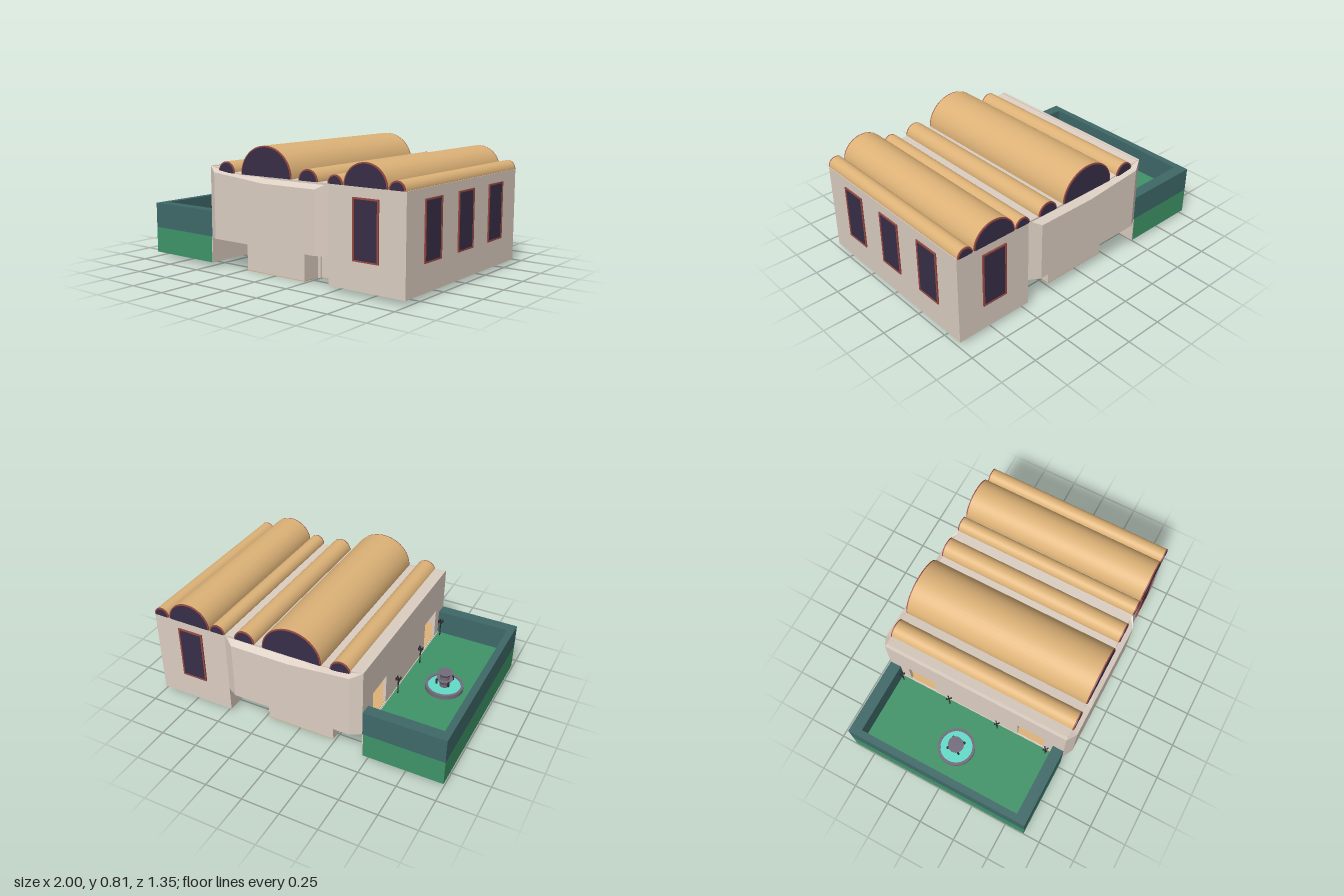
import * as THREE from 'three';

const mat = (color, extra = {}) => new THREE.MeshStandardMaterial({ color, ...extra });
const M = {
  wall: mat(0xdccec2, { flatShading: true }), tan: mat(0xddb277), dark: mat(0x382e48), red: mat(0x9a4a42),
  teal: mat(0x3f6868), green: mat(0x3f9468), water: mat(0x62dcc8), stone: mat(0x736c7c), iron: mat(0x2e2a30),
};

export function createModel() {
  const root = new THREE.Group();
  const add = (name, geo, material, parent = root) => {
    const mesh = new THREE.Mesh(geo, material);
    mesh.name = name;
    parent.add(mesh);
    return mesh;
  };
  // box given by its limits on each axis
  const box = (name, m, x0, x1, y0, y1, z0, z1, parent) => {
    const b = add(name, new THREE.BoxGeometry(x1 - x0, y1 - y0, z1 - z0), m, parent);
    b.position.set((x0 + x1) / 2, (y0 + y1) / 2, (z0 + z1) / 2);
    return b;
  };
  const cyl = (name, m, r0, r1, h, x, y, z, seg = 24, parent = root) => {
    const c = add(name, new THREE.CylinderGeometry(r1, r0, h, seg), m, parent);
    c.position.set(x, y + h / 2, z);
    return c;
  };
  const rect = (P, x0, x1, y0, y1) => {
    const p = new P();
    p.moveTo(x0, y0); p.lineTo(x1, y0); p.lineTo(x1, y1); p.lineTo(x0, y1); p.closePath();
    return p;
  };
  const extrude = (shape, depth) => new THREE.ExtrudeGeometry(shape, { depth, bevelEnabled: false, curveSegments: 24 });

  // main hall: floor, right wall and roof in one profile
  const profile = [[-0.45, 0.2], [0.47, 0.2], [0.47, 0.62], [-0.2, 0.62], [-0.45, 0.652],
    [-0.45, 0.6], [0.45, 0.6], [0.45, 0.21], [-0.45, 0.21]];
  const hall = add('hallShell', extrude(new THREE.Shape(profile.map(p => new THREE.Vector2(...p))), 1.27), M.wall);
  hall.position.z = -0.635;
  box('hallUnderside', M.tan, -0.46, 0.465, 0.197, 0.2, -0.63, 0.63);
  box('hallFloor', M.tan, -0.465, 0.45, 0.21, 0.213, -0.62, 0.62);

  // garden-side wall with two door openings
  const side = rect(THREE.Shape, -0.635, 0.635, 0.2, 0.655);
  for (const z of [-0.4, 0.4]) side.holes.push(rect(THREE.Path, z - 0.095, z + 0.095, 0.205, 0.41));
  const sideWall = add('gardenSideWall', extrude(side, 0.02), M.wall);
  sideWall.rotation.y = -Math.PI / 2;
  sideWall.position.x = -0.45;

  // shallow faceted bays closing both ends: x, outer z, outer top, inner top
  const stations = [[-0.47, 0.635, 0.655, 0.655], [-0.4, 0.675, 0.62, 0.646], [-0.2, 0.675, 0.602, 0.62],
    [0, 0.675, 0.583, 0.62], [0.4, 0.675, 0.583, 0.62], [0.47, 0.635, 0.62, 0.62]];
  for (const s of [1, -1]) {
    const pos = [], idx = [];
    for (const [x, zo, yo, yi] of stations)
      pos.push(x, 0.2, s * 0.615, x, 0.2, s * zo, x, yo, s * zo, x, yi, s * 0.615);
    const tri = (a, b, c) => (s > 0 ? idx.push(a, b, c) : idx.push(a, c, b));
    const quad = (a, b, c, d) => { tri(a, b, c); tri(a, c, d); };
    for (let i = 0; i < stations.length - 1; i++)
      for (let j = 0; j < 4; j++) {
        const a = i * 4 + j, b = i * 4 + (j + 1) % 4;
        quad(a, a + 4, b + 4, b);
      }
    quad(0, 1, 2, 3);
    const e = (stations.length - 1) * 4;
    quad(e + 3, e + 2, e + 1, e);
    let g = new THREE.BufferGeometry();
    g.setAttribute('position', new THREE.Float32BufferAttribute(pos, 3));
    g.setIndex(idx);
    g = g.toNonIndexed();
    g.computeVertexNormals();
    add(s > 0 ? 'frontBay' : 'backBay', g, M.wall);
  }

  // side wing
  box('wingBase', M.wall, 0.47, 0.992, 0.03, 0.2, -0.635, 0.635);
  box('wingWalls', M.wall, 0.47, 0.992, 0.2, 0.62, -0.635, 0.635);

  // framed windows of the wing
  const addWindow = (x, z, ry, w) => {
    const g = new THREE.Group();
    g.name = 'window';
    const f = rect(THREE.Shape, -w / 2, w / 2, 0.2, 0.56);
    f.holes.push(rect(THREE.Path, -w / 2 + 0.01, w / 2 - 0.01, 0.208, 0.55));
    add('windowFrame', extrude(f, 0.009), M.red, g);
    box('windowPane', M.dark, -w / 2 + 0.005, w / 2 - 0.005, 0.204, 0.555, -0.002, 0.005, g);
    g.position.set(x, 0, z);
    g.rotation.y = ry;
    root.add(g);
  };
  for (const z of [-0.365, 0, 0.365]) addWindow(0.991, z, Math.PI / 2, 0.18);
  addWindow(0.73, 0.635, 0, 0.175);
  addWindow(0.73, -0.635, Math.PI, 0.175);

  // barrel vaults with rimmed dark ends: centre x, half width, height
  const half = (r, h) => {
    const s = new THREE.Shape();
    s.absellipse(0, 0, r, h, 0, Math.PI, false);
    s.closePath();
    return s;
  };
  const vaults = [[-0.325, 0.068, 0.07], [0, 0.2, 0.185], [0.325, 0.07, 0.07],
    [0.52, 0.053, 0.054], [0.728, 0.148, 0.138], [0.935, 0.053, 0.054]];
  for (const [x, r, h] of vaults) {
    const g = new THREE.Group();
    g.name = 'vault';
    g.position.set(x, 0.62, 0);
    root.add(g);
    const barrelGeo = new THREE.CylinderGeometry(1, 1, 1.27, 24, 1, false, -Math.PI / 2, Math.PI);
    barrelGeo.rotateX(-Math.PI / 2).scale(r, h, 1);
    barrelGeo.computeBoundingBox();
    if (barrelGeo.boundingBox.min.y < -0.01) barrelGeo.rotateZ(Math.PI);
    add('vaultRoof', barrelGeo, M.tan, g);
    const rim = add('vaultRim', extrude(half(r, h), 1.284), M.red, g);
    rim.scale.set(0.995, 0.995, 1);
    rim.position.z = -0.642;
    const t = 0.009;
    add('vaultEndPane', extrude(half(r - t, h - t), 1.29), M.dark, g).position.z = -0.645;
  }

  // cross-shaped lower room
  box('lowerRoomLong', M.wall, -0.235, 0.23, 0.004, 0.187, -0.56, 0.56);
  box('lowerRoomCeiling', M.tan, -0.23, 0.225, 0.187, 0.2, -0.555, 0.555);
  box('lowerRoomWide', M.wall, -0.36, 0.355, 0.004, 0.185, -0.42, 0.42);
  box('lowerFloorLong', M.tan, -0.235, 0.23, 0, 0.004, -0.56, 0.56);
  box('lowerFloorWide', M.tan, -0.36, 0.355, 0, 0.004, -0.42, 0.42);
  for (const x of [-0.245, 0.24])
    for (const z of [-0.43, 0.43]) cyl('cornerColumn', M.wall, 0.011, 0.011, 0.2, x, 0, z, 12);

  // walled garden
  box('gardenBase', M.green, -1, -0.475, 0.03, 0.2, -0.635, 0.635);
  box('gardenInnerFace', M.wall, -0.475, -0.468, 0.03, 0.2, -0.635, 0.635);
  box('gardenOuterWall', M.teal, -1, -0.955, 0.2, 0.365, -0.635, 0.635);
  for (const s of [1, -1])
    box('gardenEndWall', M.teal, -0.955, -0.47, 0.2, 0.365, s > 0 ? 0.56 : -0.635, s > 0 ? 0.635 : -0.56);

  // fountain
  const basin = [[0, 0], [0.122, 0], [0.122, 0.028], [0.105, 0.028], [0.105, 0.01], [0, 0.01]];
  const basinMesh = add('fountainBasin', new THREE.LatheGeometry(basin.map(p => new THREE.Vector2(...p)), 32),
    mat(0x736c7c, { flatShading: true }));
  basinMesh.position.set(-0.74, 0.2, 0);
  cyl('fountainWater', M.water, 0.106, 0.106, 0.02, -0.74, 0.2, 0, 32);
  cyl('fountainStem', M.stone, 0.03, 0.03, 0.12, -0.74, 0.2, 0);
  cyl('fountainLowerBowl', M.stone, 0.035, 0.052, 0.025, -0.74, 0.25, 0);
  cyl('fountainUpperBowl', M.stone, 0.03, 0.045, 0.025, -0.74, 0.3, 0);
  for (let i = 0; i < 4; i++) {
    const a = Math.PI / 4 + i * Math.PI / 2;
    cyl('fountainSpout', M.iron, 0.007, 0.007, 0.03, -0.74 + 0.056 * Math.cos(a), 0.25, 0.056 * Math.sin(a), 8);
  }

  // lamp posts with crossed arms
  for (const z of [-0.54, -0.185, 0.17, 0.525]) {
    cyl('lampPost', M.iron, 0.004, 0.004, 0.13, -0.5, 0.2, z, 8);
    for (const s of [1, -1]) {
      const arm = box('lampArm', M.iron, -0.516, -0.484, 0.305, 0.31, z - 0.003, z + 0.003);
      arm.rotation.y = s * Math.PI / 4;
      for (const k of [1, -1])
        cyl('lampHead', M.iron, 0.004, 0.004, 0.022, -0.5 + k * 0.011, 0.305, z + s * k * 0.011, 8);
    }
  }
  return root;
}
